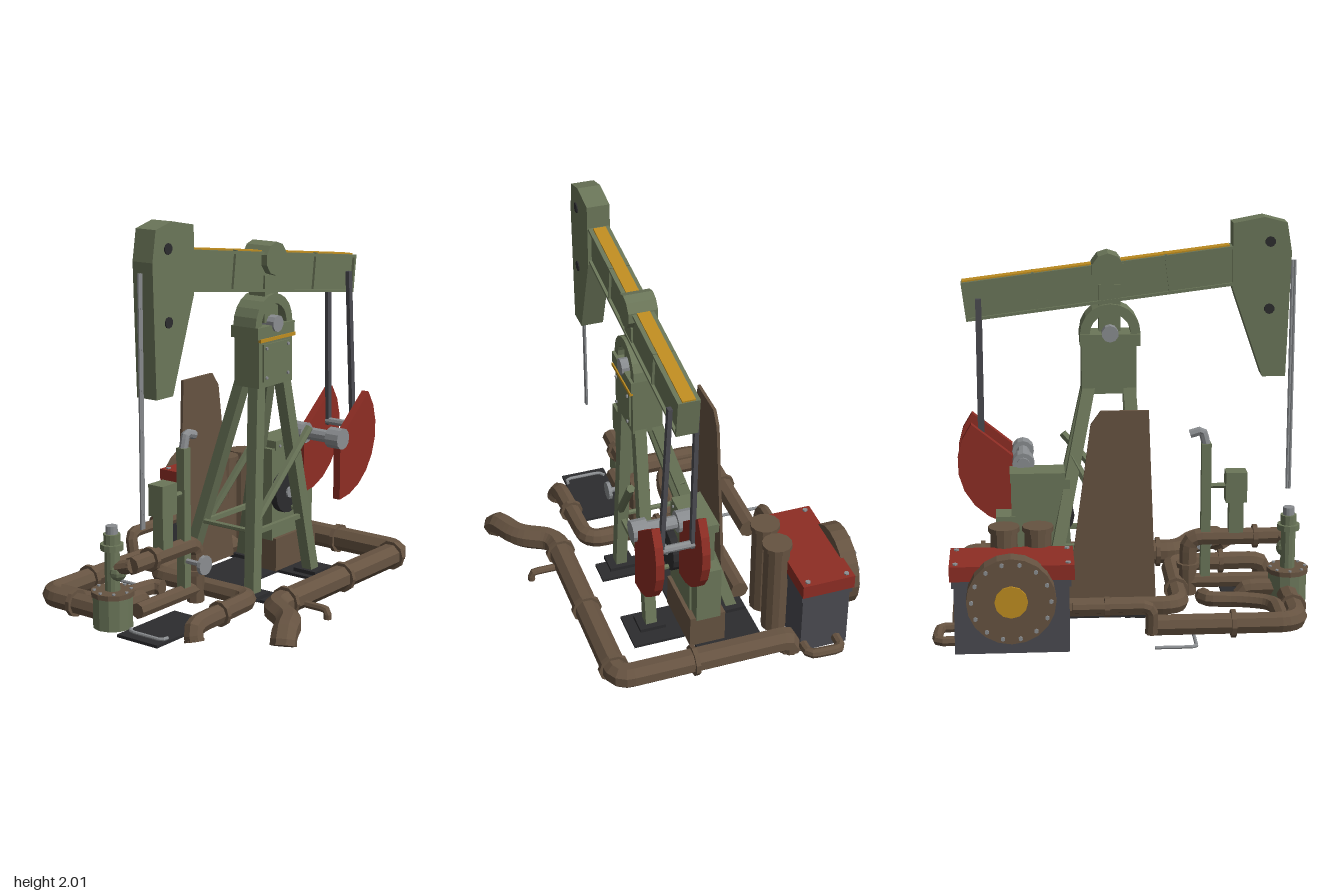
import * as THREE from 'three';

const mat = (name, color) => {
  const m = new THREE.MeshStandardMaterial({ color, flatShading: true });
  m.name = name;
  return m;
};

export function createModel() {
  const green = mat('olive paint', 0x6b7659), brown = mat('rusty brown', 0x665341);
  const red = mat('red paint', 0x8e2d24), dark = mat('dark grey metal', 0x4a4a50);
  const black = mat('black plate', 0x2c2c2e), steel = mat('bare steel', 0x8a8d90);
  const yellow = mat('yellow paint', 0xbf8d20);
  const model = new THREE.Group();
  const V = (p) => new THREE.Vector3(...p);

  const add = (name, geo, material, p = [0, 0, 0], parent = model) => {
    const m = new THREE.Mesh(geo, material);
    m.name = name;
    m.position.set(...p);
    parent.add(m);
    return m;
  };
  // Box given by its ranges
  const box = (name, m, x0, x1, y0, y1, z0, z1, parent) =>
    add(name, new THREE.BoxGeometry(x1 - x0, y1 - y0, z1 - z0), m,
      [(x0 + x1) / 2, (y0 + y1) / 2, (z0 + z1) / 2], parent);
  const aim = (mesh, a, b) => {
    mesh.position.copy(a).add(b).multiplyScalar(0.5);
    mesh.quaternion.setFromUnitVectors(new THREE.Vector3(0, 1, 0), b.clone().sub(a).normalize());
    return mesh;
  };
  // Round bar between two points
  const rod = (name, m, a, b, r, sides = 8) => {
    const A = V(a), B = V(b);
    return aim(add(name, new THREE.CylinderGeometry(r, r, A.distanceTo(B), sides), m), A, B);
  };
  // Square bar between two points, sheared so that its ends stay level
  const strut = (name, m, a, b, w, d = w) => {
    const g = new THREE.BoxGeometry(w, b[1] - a[1], d), p = g.attributes.position;
    for (let i = 0; i < p.count; i++) {
      const s = p.getY(i) / (b[1] - a[1]);
      p.setX(i, p.getX(i) + s * (b[0] - a[0]));
      p.setZ(i, p.getZ(i) + s * (b[2] - a[2]));
    }
    return add(name, g, m, a.map((v, i) => (v + b[i]) / 2));
  };
  const plate = (name, m, pts, z0, z1) => {
    const s = new THREE.Shape(pts.map((p) => new THREE.Vector2(...p)));
    return add(name, new THREE.ExtrudeGeometry(s, { depth: z1 - z0, bevelEnabled: false }), m, [0, 0, z0]);
  };
  // Pipe through points with rounded elbows and closed ends
  const pipe = (name, points, r, bend = 0.09, m = brown) => {
    const pts = points.map(V), path = new THREE.CurvePath();
    let last = pts[0];
    for (let i = 1; i < pts.length - 1; i++) {
      const c = pts[i];
      const toward = (q) => c.clone().add(q.clone().sub(c).setLength(Math.min(bend, c.distanceTo(q) * 0.45)));
      const a = toward(pts[i - 1]), b = toward(pts[i + 1]);
      path.add(new THREE.LineCurve3(last, a));
      path.add(new THREE.QuadraticBezierCurve3(a, c, b));
      last = b;
    }
    path.add(new THREE.LineCurve3(last, pts[pts.length - 1]));
    add(name, new THREE.TubeGeometry(path, Math.max(8, Math.ceil(path.getLength() / 0.03)), r, 8), m);
    [[0, 1], [pts.length - 1, pts.length - 2]].forEach(([i, j]) => {
      const d = pts[j].clone().sub(pts[i]).setLength(0.01);
      rod(name + 'End', m, pts[i].toArray(), pts[i].clone().add(d).toArray(), r);
    });
  };
  const flange = (p, axis, r) => {
    const d = [0, 0, 0];
    d['xyz'.indexOf(axis)] = 0.012;
    rod('pipeFlange', brown, p.map((v, i) => v - d[i]), p.map((v, i) => v + d[i]), r, 10);
  };
  const bolts = (pts, axis, r = 0.011) => pts.forEach((p) => {
    const q = [...p];
    q['xyz'.indexOf(axis)] += 0.012;
    rod('bolt', steel, p, q, r, 6);
  });

  // Walking beam: I-section, yellow top strips and stiffeners
  const beam = new THREE.Group();
  beam.name = 'walkingBeam';
  beam.position.set(0.105, 1.665, 0.14);
  beam.rotation.z = -0.125;
  model.add(beam);
  box('beamWeb', green, -0.72, 0.69, -0.09, 0.09, -0.04, 0.04, beam);
  for (const y of [-0.1, 0.085]) box('beamFlange', green, -0.72, 0.69, y, y + 0.015, -0.055, 0.055, beam);
  box('beamEnd', green, 0.68, 0.695, -0.1, 0.1, -0.055, 0.055, beam);
  for (const [a, b] of [[-0.68, -0.12], [0.03, 0.69]]) box('beamStripe', yellow, a, b, 0.1, 0.107, -0.033, 0.033, beam);
  for (const x of [-0.35, 0.33]) box('beamStiffener', green, x - 0.006, x + 0.006, -0.09, 0.105, -0.053, 0.053, beam);

  // Horse head, its pins and the hanging rods
  plate('horseHead', green, [[-0.87, 1.82], [-0.85, 1.175], [-0.73, 1.175], [-0.57, 1.64], [-0.57, 1.97], [-0.73, 2], [-0.845, 1.97]], 0.08, 0.2);
  for (const y of [1.53, 1.875]) rod('headPin', black, [-0.76, y, 0.075], [-0.76, y, 0.206], 0.027, 10);
  for (const x of [-0.897, -0.883]) rod('polishedRod', steel, [x, 0.55, 0.14], [x, 1.77, 0.14], 0.008, 6);

  // Saddle hub and bearing
  rod('saddleHub', green, [0.065, 1.74, 0.065], [0.065, 1.74, 0.215], 0.085, 10);
  box('saddlePost', green, 0, 0.11, 1.42, 1.66, 0.09, 0.19);
  const arch = [];
  for (let i = 0; i <= 10; i++) arch.push([0.053 + 0.155 * Math.cos(i * Math.PI / 10), 1.41 + 0.155 * Math.sin(i * Math.PI / 10)]);
  for (let i = 10; i >= 0; i--) arch.push([0.053 + 0.105 * Math.cos(i * Math.PI / 10), 1.41 + 0.105 * Math.sin(i * Math.PI / 10)]);
  plate('bearingArch', green, arch, 0.07, 0.21);
  box('bearingBase', green, -0.1, 0.208, 1.35, 1.41, 0.055, 0.225);
  rod('bearingShaft', steel, [0.055, 1.415, 0.04], [0.055, 1.415, 0.235], 0.043, 10);

  // Tower head, legs and bracing
  box('towerHead', green, -0.08, 0.2, 1.1, 1.35, 0.06, 0.215);
  box('towerPanel', green, -0.05, 0.17, 1.13, 1.32, 0.21, 0.224);
  box('towerStripe', yellow, -0.085, 0.205, 1.335, 1.352, 0.215, 0.232);
  bolts([[-0.03, 1.15, 0.22], [0.15, 1.15, 0.22], [-0.03, 1.3, 0.22], [0.15, 1.3, 0.22]], 'z', 0.009);
  for (const [x0, x1] of [[-0.11, -0.045], [0.405, 0.165]]) {
    strut('frontLeg', green, [x0, 0.02, 0.2], [x1, 1.13, 0.175], 0.065, 0.06);
    strut('rearLeg', green, [x0, 0.02, -0.25], [x1, 1.13, 0.09], 0.065, 0.06);
    rod('sideBrace', green, [x0 * 0.95, 0.36, 0.19], [x0 * 0.95, 0.36, -0.14], 0.014, 6);
    box('legFoot', black, x0 - 0.06, x0 + 0.06, 0.015, 0.04, 0.13, 0.27);
    box('legFoot', black, x0 - 0.06, x0 + 0.06, 0.015, 0.04, -0.31, -0.19);
  }
  rod('frontBrace', green, [-0.08, 0.41, 0.2], [0.295, 0.84, 0.26], 0.022, 6);
  rod('rearBrace', green, [-0.08, 0.2, -0.22], [0.26, 0.8, -0.02], 0.022, 6);
  for (const z of [0.19, -0.14]) box('crossBar', green, -0.09, 0.33, 0.335, 0.36, z - 0.012, z + 0.012);

  // Rusty guard sheet behind the tower
  plate('guardSheet', brown, [[-0.16, 0.05], [0.3, 0.05], [0.17, 1.02], [0.12, 1.09], [-0.12, 1.09]], -0.256, -0.24);

  // Gearbox with pulley
  box('gearboxPlinth', brown, 0.28, 0.64, 0.02, 0.2, -0.13, 0.06);
  box('gearbox', green, 0.27, 0.57, 0.19, 0.69, -0.09, 0.04);
  box('gearboxShelf', green, 0.55, 0.65, 0.19, 0.5, -0.1, 0.03);
  box('gearboxLid', green, 0.295, 0.575, 0.68, 0.73, -0.11, 0.045);
  bolts([0.33, 0.41, 0.49].map((x) => [x, 0.7, 0.04]), 'z', 0.008);
  rod('pulley', black, [0.355, 0.45, 0.05], [0.355, 0.45, 0.09], 0.112, 16);
  rod('pulleyHub', steel, [0.355, 0.45, 0.04], [0.355, 0.45, 0.1], 0.03, 8);

  // Crankshaft, counterweights and pitman arms
  rod('crankshaft', steel, [0.505, 0.745, 0], [0.505, 0.745, 0.33], 0.035, 10);
  for (const z of [0.055, 0.29]) {
    rod('crankHub', steel, [0.505, 0.745, z - 0.04], [0.505, 0.745, z + 0.04], 0.057, 12);
    const sector = [];
    for (let i = 0; i <= 8; i++) {
      const t = (-90 + i * 16.1) * Math.PI / 180;
      sector.push([0.508 + 0.335 * Math.cos(t), 0.745 + 0.335 * Math.sin(t)]);
    }
    sector.push([0.56, 0.785], [0.56, 0.73], [0.508, 0.69]);
    plate('counterweight', red, sector, z - 0.021, z + 0.021);
  }
  rod('wristPin', steel, [0.72, 0.77, 0.04], [0.72, 0.77, 0.27], 0.02);
  strut('pitmanArm', dark, [0.72, 0.75, 0.245], [0.72, 1.6, 0.205], 0.03, 0.022);
  strut('pitmanArm', dark, [0.72, 0.75, 0.085], [0.72, 1.6, 0.072], 0.03, 0.022);

  // Ground plates
  for (const [a, b, c, d] of [[-0.14, 0, -0.28, 0.33], [0, 0.31, -0.27, 0.05], [0.31, 0.55, -0.27, 0.33], [0.37, 0.66, -0.32, 0.03], [-0.96, -0.53, 0.03, 0.28]])
    box('groundPlate', black, a, b, 0.005, 0.02, c, d);

  // Engine with lid, stacks and flywheel cover
  box('engineBody', dark, 0.295, 0.85, 0.01, 0.39, -0.72, -0.465);
  box('engineTrim', dark, 0.285, 0.86, 0.35, 0.385, -0.73, -0.455);
  box('engineLid', red, 0.27, 0.87, 0.385, 0.46, -0.735, -0.455);
  bolts([[0.3, 0.455, -0.7], [0.84, 0.455, -0.7], [0.3, 0.455, -0.49], [0.84, 0.455, -0.49]], 'y', 0.014);
  for (const x of [0.44, 0.607]) {
    rod('stack', brown, [x, 0.01, -0.415], [x, 0.54, -0.415], 0.067, 12);
    rod('stackCap', brown, [x, 0.53, -0.415], [x, 0.555, -0.415], 0.078, 12);
  }
  rod('flywheelCover', brown, [0.575, 0.305, -0.72], [0.575, 0.305, -0.805], 0.215, 20);
  rod('flywheelCentre', yellow, [0.575, 0.305, -0.8], [0.575, 0.305, -0.815], 0.08, 12);
  bolts(Array.from({ length: 14 }, (_, i) => [0.575 + 0.19 * Math.cos(i * Math.PI / 7), 0.305 + 0.19 * Math.sin(i * Math.PI / 7), -0.815]), 'z');
  pipe('enginePipe', [[0.85, 0.055, -0.48], [0.93, 0.055, -0.48], [0.94, 0.055, -0.66], [0.85, 0.055, -0.66]], 0.026, 0.04);

  // Ground pipework
  pipe('frontPipe', [[-0.62, 0.03, 0.77], [-0.6, 0.08, 0.76], [-0.44, 0.08, 0.68], [-0.34, 0.085, 0.5], [0.81, 0.085, 0.5], [0.81, 0.085, -0.42], [0.81, 0.02, -0.42]], 0.065, 0.07);
  for (const x of [-0.23, 0.26, 0.73]) flange([x, 0.085, 0.5], 'x', 0.08);
  flange([0.81, 0.085, 0.1], 'z', 0.08);
  pipe('drainPipe', [[-0.14, 0.06, 0.53], [-0.14, 0.06, 0.69], [-0.14, 0.01, 0.69]], 0.02, 0.03);
  pipe('middlePipe', [[0.38, 0.08, -0.31], [-0.28, 0.08, -0.31], [-0.28, 0.08, 0.33], [-0.78, 0.08, 0.35], [-0.79, 0.01, 0.37]], 0.05);
  flange([-0.28, 0.08, -0.08], 'z', 0.065);
  flange([-0.56, 0.08, 0.342], 'x', 0.065);
  pipe('rearPipe', [[-0.1, 0.07, -0.55], [-0.85, 0.07, -0.55], [-0.85, 0.07, -0.12]], 0.055, 0.11);
  flange([-0.52, 0.07, -0.55], 'x', 0.07);
  flange([-0.85, 0.07, -0.34], 'z', 0.07);
  pipe('branchPipe', [[-0.77, 0.07, -0.52], [-0.77, 0.07, -0.28], [-0.6, 0.07, -0.22], [-0.42, 0.07, -0.21], [-0.41, 0.07, -0.15]], 0.042);
  pipe('fuelPipe', [[0.28, 0.2, -0.625], [-0.11, 0.2, -0.625], [-0.11, 0.05, -0.6]], 0.032, 0.05);
  flange([0.11, 0.2, -0.625], 'x', 0.05);
  pipe('wellPipe', [[-0.84, 0.33, 0.02], [-0.35, 0.33, 0.02], [-0.35, 0.02, 0.02]], 0.045, 0.07);
  flange([-0.7, 0.33, 0.02], 'x', 0.062);
  flange([-0.35, 0.18, 0.02], 'y', 0.06);
  pipe('wellOutlet', [[-0.8, 0.09, -0.1], [-0.62, 0.09, -0.1], [-0.62, 0.01, -0.1]], 0.045, 0.05);
  pipe('lowerOutlet', [[-0.8, 0.09, 0.02], [-0.35, 0.09, 0.02]], 0.04);
  pipe('rearRod', [[-0.12, 0.012, -0.7], [-0.325, 0.012, -0.7], [-0.325, 0.012, -0.36]], 0.009, 0.02, steel);
  pipe('plateRod', [[-0.88, 0.03, 0.05], [-0.91, 0.03, 0.07], [-0.91, 0.03, 0.27], [-0.87, 0.03, 0.27]], 0.009, 0.02, steel);

  // Wellhead stack
  const well = (name, m, y0, y1, r) => rod(name, m, [-0.86, y0, -0.085], [-0.86, y1, -0.085], r, 12);
  well('wellBase', green, 0.01, 0.175, 0.1);
  well('wellFlange', brown, 0.17, 0.195, 0.108);
  well('wellNeck', green, 0.19, 0.42, 0.038);
  well('wellCollar', green, 0.4, 0.43, 0.058);
  well('wellCap', green, 0.43, 0.48, 0.042);
  well('wellTop', steel, 0.47, 0.52, 0.03);
  add('wellValve', new THREE.SphereGeometry(0.048, 10, 8), green, [-0.85, 0.29, -0.06]);
  pipe('wellNeckPipe', [[-0.86, 0.3, -0.085], [-0.84, 0.33, 0.02]], 0.035);
  bolts(Array.from({ length: 8 }, (_, i) => [-0.86 + 0.09 * Math.cos(i * Math.PI / 4), 0.19, -0.085 + 0.09 * Math.sin(i * Math.PI / 4)]), 'y', 0.009);

  // Control box, valve post and handle
  box('controlBox', green, -0.65, -0.54, 0.53, 0.69, -0.03, 0.06);
  box('controlStem', green, -0.635, -0.56, 0.36, 0.54, -0.015, 0.05);
  rod('controlLink', green, [-0.55, 0.61, 0.02], [-0.44, 0.61, 0.02], 0.014, 6);
  box('valvePost', green, -0.465, -0.415, 0.1, 0.84, -0.005, 0.045);
  pipe('postHandle', [[-0.44, 0.83, 0.02], [-0.42, 0.91, 0.02], [-0.355, 0.89, 0.02]], 0.023, 0.02, steel);
  rod('valveStem', steel, [-0.445, 0.26, 0.04], [-0.445, 0.26, 0.15], 0.014, 6);
  rod('valveWheel', steel, [-0.445, 0.26, 0.145], [-0.445, 0.26, 0.165], 0.05, 12);

  return model;
}
